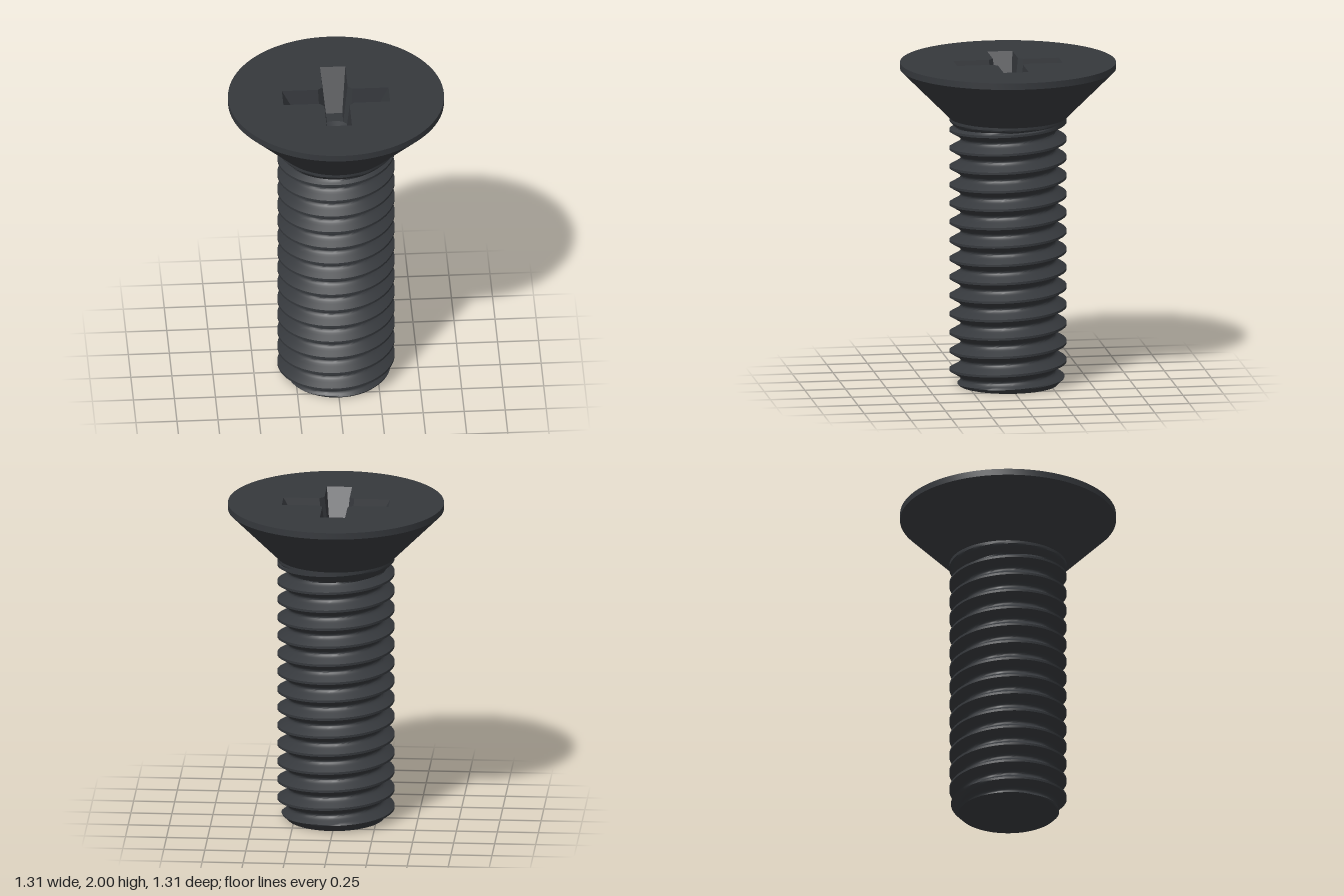
import * as THREE from 'three';
import { toCreasedNormals } from 'three/addons/utils/BufferGeometryUtils.js';

const HEAD_R = 0.657, RIM_Y = 1.96, TOP = 2;
const MAJOR = 0.357, NECK_Y = 1.66, PITCH = 0.1143, PHASE = 0.125;
const FLOOR_Y = 1.75, DIMPLE_R = 0.105;

const material = new THREE.MeshStandardMaterial({ color: 0x35383c });

function addMesh(parent, name, geometry) {
  const mesh = new THREE.Mesh(geometry, material);
  mesh.name = name;
  parent.add(mesh);
}

// Non-indexed geometry from triangles of Vector3, dropping collapsed ones
function fromTriangles(triangles) {
  const solid = triangles.filter((t) => new THREE.Triangle(...t).getArea() > 1e-8);
  return new THREE.BufferGeometry().setFromPoints(solid.flat());
}

// Shank radius at an angle and height: 60 degree thread with narrow crest
// and rounded root, chamfered at the tip and flared at the neck
function shankRadius(angle, y) {
  const u = (y - PHASE) / PITCH - angle / (2 * Math.PI);
  const d = Math.abs(u - Math.round(u));
  const flank = Math.max(0, d - 1 / 16);
  const root = Math.max(0, d - 5 / 16);
  const thread = MAJOR - Math.sqrt(3) * PITCH * (flank - root * root * 8 / 3);
  const neck = Math.min(MAJOR, MAJOR - (1.64 - y));
  return Math.max(Math.min(thread, 0.3 + y), neck);
}

// Right-handed helical surface whose rows follow the thread
function createShank() {
  const sides = 96, steps = 16;
  const firstRow = -3 * steps;
  const lastRow = Math.ceil(NECK_Y / PITCH) * steps;
  const point = (i, row) => {
    const angle = (i / sides) * Math.PI * 2;
    const raw = PHASE + PITCH * (row / steps + i / sides);
    const y = THREE.MathUtils.clamp(raw, 0, NECK_Y);
    const r = shankRadius(angle, y);
    return new THREE.Vector3(Math.cos(angle) * r, y, -Math.sin(angle) * r);
  };
  const triangles = [];
  for (let i = 0; i < sides; i++) {
    for (let row = firstRow; row < lastRow; row++) {
      const a = point(i, row), b = point(i + 1, row);
      const c = point(i + 1, row + 1), d = point(i, row + 1);
      triangles.push([a, b, c], [a, c, d]);
    }
    // flat tip
    triangles.push([new THREE.Vector3(), point(i + 1, firstRow), point(i, firstRow)]);
  }
  return toCreasedNormals(fromTriangles(triangles), 0.6);
}

// Cross outline with bevelled inner corners, counter-clockwise
function crossOutline(halfWidth, length, bevel) {
  const arm = [[bevel, -halfWidth], [length, -halfWidth], [length, halfWidth], [bevel, halfWidth]];
  const points = [];
  for (let k = 0; k < 4; k++) {
    for (const [x, y] of arm) {
      points.push(new THREE.Vector2(x, y).rotateAround(new THREE.Vector2(), (k * Math.PI) / 2));
    }
  }
  return points;
}

function createRecess(upper, lower) {
  const recess = new THREE.Group();
  recess.name = 'crossRecess';

  // tapered walls between the two outlines
  const at = (p, y) => new THREE.Vector3(p.x, y, -p.y);
  const walls = [];
  upper.forEach((p, i) => {
    const j = (i + 1) % upper.length;
    const aT = at(p, TOP), bT = at(upper[j], TOP);
    const aB = at(lower[i], FLOOR_Y), bB = at(lower[j], FLOOR_Y);
    walls.push([aB, aT, bT], [aB, bT, bB]);
  });
  const wallGeometry = fromTriangles(walls);
  wallGeometry.computeVertexNormals();
  addMesh(recess, 'recessWalls', wallGeometry);

  // arm floors, each meeting the round dimple along an arc
  const halfAngle = Math.atan2(lower[3].y, lower[3].x);
  for (let k = 0; k < 4; k++) {
    const shape = new THREE.Shape();
    shape.moveTo(lower[1].x, lower[1].y);
    shape.lineTo(lower[2].x, lower[2].y);
    shape.absarc(0, 0, DIMPLE_R, halfAngle, -halfAngle, true);
    const floor = new THREE.ShapeGeometry(shape, 6);
    floor.rotateX(-Math.PI / 2).rotateY((k * Math.PI) / 2).translate(0, FLOOR_Y, 0);
    addMesh(recess, 'recessFloor', floor);
  }

  // shallow conical dimple in the middle
  const dimple = new THREE.LatheGeometry(
    [new THREE.Vector2(DIMPLE_R, FLOOR_Y), new THREE.Vector2(0, FLOOR_Y - 0.04)], 48);
  addMesh(recess, 'recessDimple', dimple);
  return recess;
}

export function createModel() {
  const model = new THREE.Group();
  model.name = 'countersunkScrew';

  // countersunk cone and rim
  const profile = [[MAJOR, NECK_Y], [HEAD_R, RIM_Y], [HEAD_R, TOP]]
    .map(([x, y]) => new THREE.Vector2(x, y));
  addMesh(model, 'head', toCreasedNormals(new THREE.LatheGeometry(profile, 96), 0.5));

  // flat top with the cross opening
  const upper = crossOutline(0.077, 0.325, 0.105);
  const lower = crossOutline(0.05, 0.19, 0.092);
  const face = new THREE.Shape();
  face.absarc(0, 0, HEAD_R, 0, Math.PI * 2, false);
  face.holes.push(new THREE.Path(upper));
  const top = new THREE.ShapeGeometry(face, 48);
  top.rotateX(-Math.PI / 2).translate(0, TOP, 0);
  addMesh(model, 'headTop', top);

  model.add(createRecess(upper, lower));
  addMesh(model, 'threadedShank', createShank());
  return model;
}
